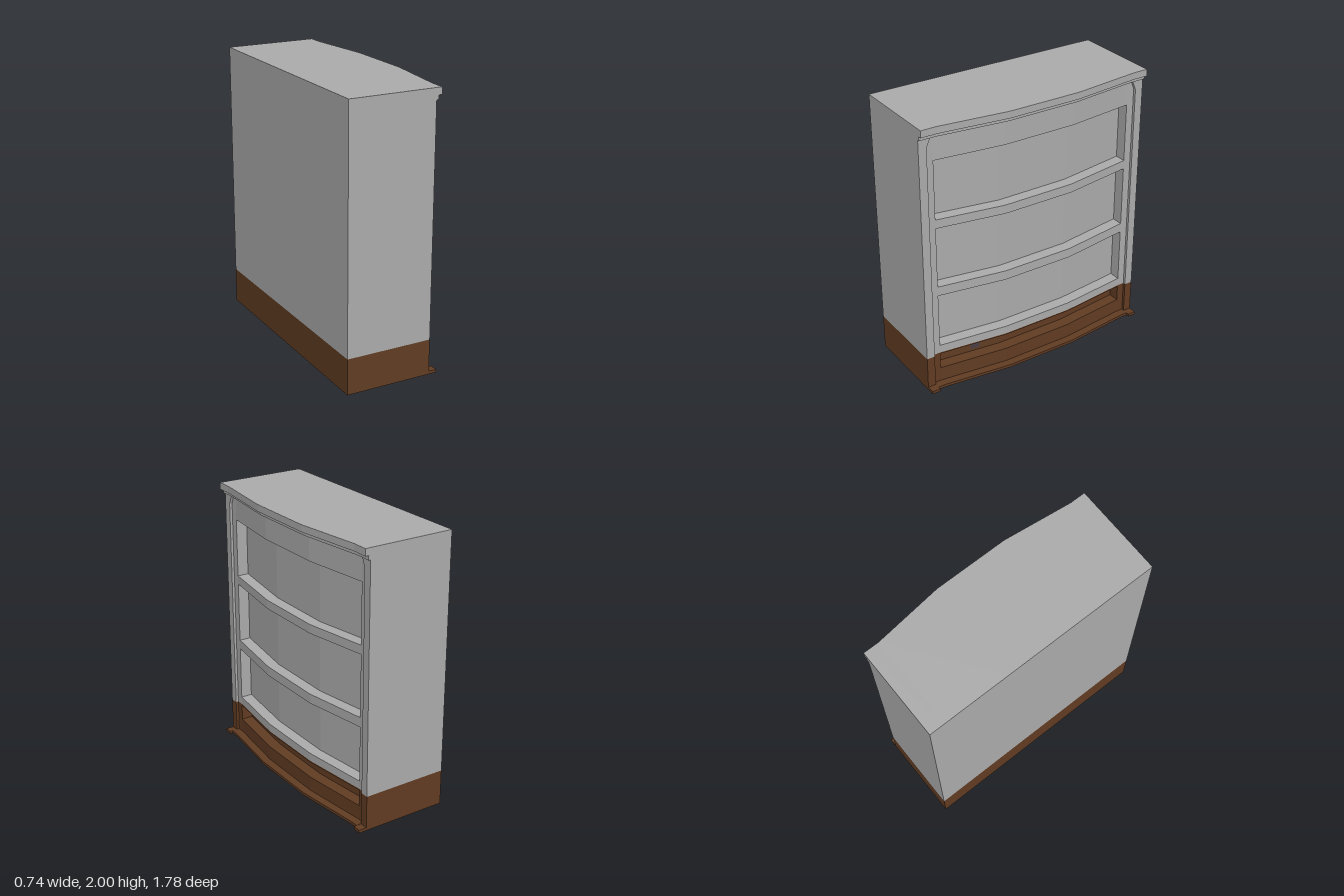
import * as THREE from 'three';

const grey = new THREE.MeshStandardMaterial({ color: 0xa9a9a9 });
grey.name = 'grey paint';
const brown = new THREE.MeshStandardMaterial({ color: 0x603b22 });
brown.name = 'brown base';
const stain = new THREE.MeshStandardMaterial({ color: 0x4a3d42 });
stain.name = 'dusty stain';

const BACK = -0.37, RECESS = 0.16, PANEL = 0.245, POST = 0.265;
const SIDE = 0.89, INNER = 0.83, OPEN = 0.775, MID = 0.27, SPLIT = 0.26;
const FULL = [-SIDE, -OPEN, -MID, MID, OPEN, SIDE];
const WIDE = [-INNER, -OPEN, -MID, MID, OPEN, INNER];
const OPENING = [-OPEN, -MID, MID, OPEN];

// 0 at the sides, 1 across the middle of the bowed front
const bulge = (z) => THREE.MathUtils.clamp((OPEN - Math.abs(z)) / (OPEN - MID), 0, 1);

export function createModel() {
  const group = new THREE.Group();

  // Box whose front follows the bow; dips lower its bottom and top edges in the middle
  function bar(name, mat, zs, back, front, y0, y1, { dip0 = 0, dip1 = 0, bowBack = false } = {}) {
    const n = zs.length - 1;
    const box = new THREE.BoxGeometry(1, 1, 1, 1, 1, n);
    const p = box.attributes.position;
    for (let i = 0; i < p.count; i++) {
      const z = zs[Math.round((p.getZ(i) + 0.5) * n)];
      const b = bulge(z), isFront = p.getX(i) > 0, isTop = p.getY(i) > 0;
      const x = (isFront ? front : back) + (isFront || bowBack ? 0.06 * b : 0);
      p.setXYZ(i, x, isTop ? y1 - dip1 * b : y0 - dip0 * b, z);
    }
    const geo = box.toNonIndexed();
    geo.computeVertexNormals();
    const mesh = new THREE.Mesh(geo, mat);
    mesh.name = name;
    group.add(mesh);
  }

  // Carcass, with the drawer backs as its bowed front
  bar('carcass', grey, FULL, BACK, RECESS, SPLIT, 1.95);
  bar('carcassBase', brown, FULL, BACK, RECESS, 0, SPLIT);

  // Stepped top
  bar('topSlab', grey, FULL, BACK, 0.305, 1.95, 2);
  bar('topMoulding', grey, FULL, RECESS, 0.28, 1.92, 1.95);

  // Rails between the open compartments
  const rail = (name, mat, y0, y1, dips) => bar(name, mat, OPENING, RECESS, PANEL, y0, y1, { bowBack: true, ...dips });
  rail('topRail', grey, 1.74, 1.92);
  rail('upperRail', grey, 1.245, 1.31, { dip0: 0.015, dip1: 0.015 });
  rail('middleRail', grey, 0.725, 0.795, { dip0: 0.015, dip1: 0.015 });
  rail('lowerRail', grey, SPLIT, 0.32);
  rail('lowerRailEdge', brown, 0.25, SPLIT);
  rail('bottomRail', brown, 0, 0.13);

  // Stiles, corner posts, feet and angled brackets on both sides
  for (const s of [1, -1]) {
    const span = (a, b) => (s > 0 ? [a, b] : [-b, -a]);
    const side = s > 0 ? 'left' : 'right';
    for (const [part, mat, y0, y1] of [['', grey, SPLIT, 1.92], ['Base', brown, 0, SPLIT]]) {
      bar(side + 'Stile' + part, mat, span(OPEN, INNER), RECESS, PANEL, y0, y1);
      bar(side + 'Post' + part, mat, span(INNER, SIDE), RECESS, POST, y0, y1);
    }
    bar(side + 'Foot', brown, span(INNER, SIDE), POST, 0.325, 0, 0.022);

    const tri = new THREE.Shape([[INNER, 1.85], [INNER, 1.92], [0.8, 1.92]].map(([z, y]) => new THREE.Vector2(-s * z, y)));
    const bracket = new THREE.Mesh(new THREE.ExtrudeGeometry(tri, { depth: POST - PANEL, bevelEnabled: false }), grey);
    bracket.rotation.y = Math.PI / 2;
    bracket.position.x = PANEL;
    bracket.name = side + 'Bracket';
    group.add(bracket);
  }

  // Thin lip along the floor
  bar('floorLip', brown, WIDE, PANEL - 0.02, 0.305, 0.003, 0.024);

  // Faded patches inside the lowest compartment
  const patches = [
    [0.72, 0.77, 0.22], [0.63, 0.7, 0.21], [0.5, 0.58, 0.19], [0.43, 0.5, 0.15], [0.28, 0.34, 0.2],
    [0.02, 0.18, 0.2], [-0.09, -0.06, 0.21], [-0.25, -0.13, 0.21], [-0.48, -0.37, 0.21],
    [-0.62, -0.54, 0.22], [-0.77, -0.73, 0.17],
  ];
  for (const [a, b, y] of patches) {
    bar('stainPatch', stain, [a, b], RECESS - 0.002, RECESS + 0.003, y, 0.25, { bowBack: true });
  }
  return group;
}
